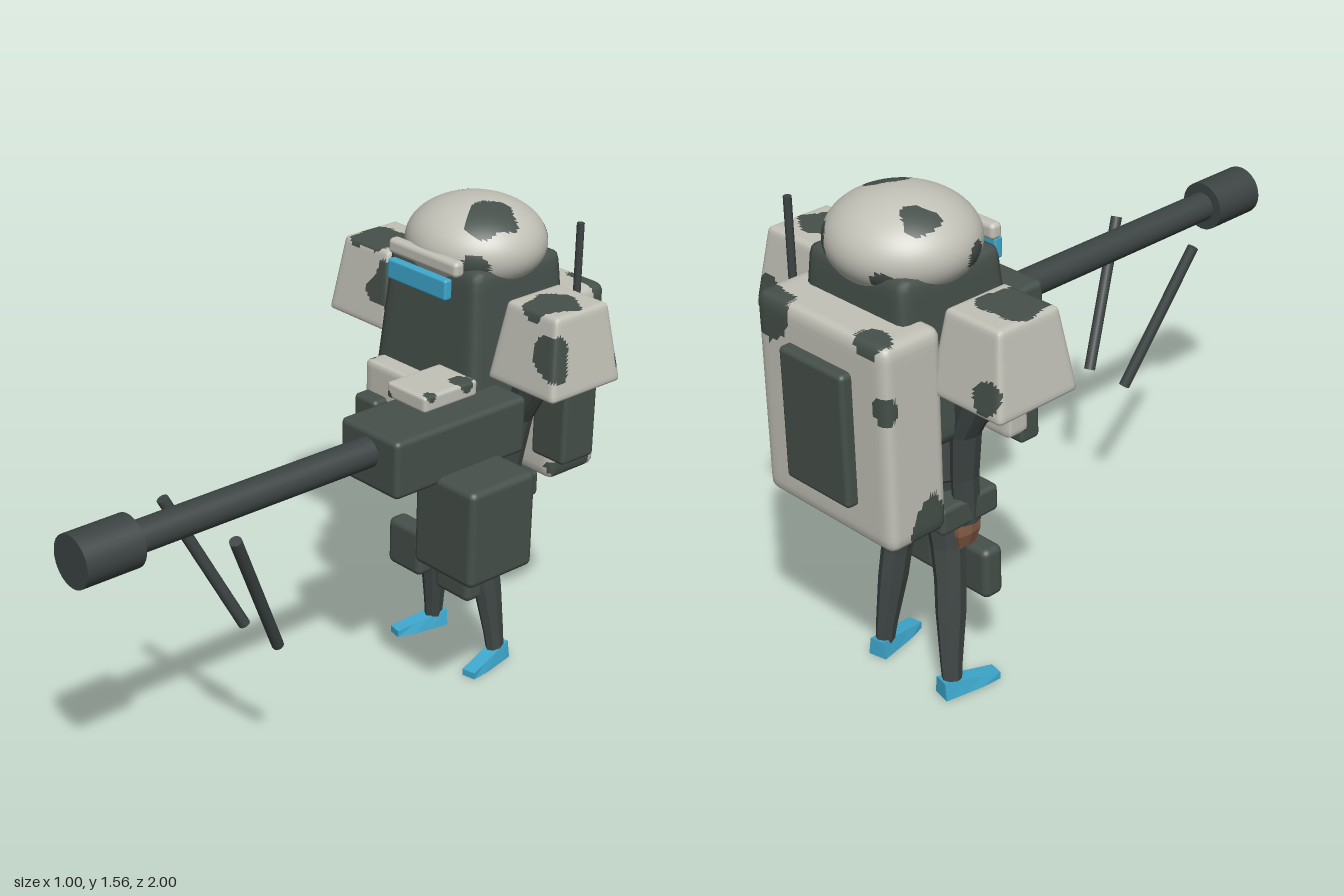
import * as THREE from 'three';
import { mergeVertices } from 'three/addons/utils/BufferGeometryUtils.js';
import { RoundedBoxGeometry } from 'three/addons/geometries/RoundedBoxGeometry.js';

const mat = (name, color) => {
  const m = new THREE.MeshStandardMaterial({ color });
  m.name = name;
  return m;
};

export function createModel() {
  const root = new THREE.Group();
  root.name = 'armouredGunner';
  const light = mat('pale grey armour', 0xc2c2b8);
  const dark = mat('dark green grey', 0x46504b);
  const suit = mat('suit grey', 0x404846);
  const steel = mat('gun steel', 0x3c4443);
  const blue = mat('bright blue', 0x3fa9cf);
  const skin = mat('brown skin', 0x8a6048);

  function add(name, geo, material, x = 0, y = 0, z = 0) {
    const m = new THREE.Mesh(geo, material);
    m.name = name;
    m.position.set(x, y, z);
    root.add(m);
    return m;
  }

  // Rounded box given by its min and max on each axis
  function box(name, material, [x0, x1], [y0, y1], [z0, z1], r = 0.015) {
    const geo = new RoundedBoxGeometry(x1 - x0, y1 - y0, z1 - z0, 3, r);
    return add(name, geo, material, (x0 + x1) / 2, (y0 + y1) / 2, (z0 + z1) / 2);
  }

  // Finely divided rounded box, narrowing to a share of its width at the top
  function taperBox(w, h, d, r, taper = 1, n = 22) {
    let g = new THREE.BoxGeometry(w, h, d, n, n, n);
    const p = g.attributes.position;
    const v = new THREE.Vector3(), c = new THREE.Vector3();
    const lim = new THREE.Vector3(w / 2 - r, h / 2 - r, d / 2 - r);
    const neg = lim.clone().negate();
    for (let i = 0; i < p.count; i++) {
      v.fromBufferAttribute(p, i);
      c.copy(v).clamp(neg, lim);
      v.sub(c).setLength(r).add(c);
      const s = 1 + (taper - 1) * (v.y / h + 0.5);
      p.setXYZ(i, v.x * s, v.y, v.z * s);
    }
    g.deleteAttribute('uv');
    g.deleteAttribute('normal');
    g = mergeVertices(g, 1e-5);
    g.computeVertexNormals();
    return g;
  }

  // Splits a geometry into light faces and dark camouflage patches [x, y, z, radius]
  function camo(name, geo, x, y, z, patches) {
    const p = geo.attributes.position, idx = geo.index.array;
    const sets = [[], []];
    const c = new THREE.Vector3(), v = new THREE.Vector3();
    for (let i = 0; i < idx.length; i += 3) {
      c.set(0, 0, 0);
      for (let k = 0; k < 3; k++) c.add(v.fromBufferAttribute(p, idx[i + k]));
      c.divideScalar(3).add(v.set(x, y, z));
      const wobble = 1 + 0.14 * Math.sin(c.x * 47 + c.y * 31) + 0.12 * Math.sin(c.z * 53 - c.y * 39);
      const inPatch = patches.some(([a, b, d, r]) => Math.hypot(c.x - a, c.y - b, c.z - d) < r * wobble);
      sets[inPatch ? 1 : 0].push(idx[i], idx[i + 1], idx[i + 2]);
    }
    geo.setIndex([...sets[0], ...sets[1]]);
    geo.clearGroups();
    geo.addGroup(0, sets[0].length, 0);
    geo.addGroup(sets[0].length, sets[1].length, 1);
    return add(name, geo, [light, dark], x, y, z);
  }

  // Faceted limb through rings [x, y, z, rx, rz], listed from bottom to top
  function limb(name, material, rings, sides = 8) {
    const pos = [], idx = [];
    for (const [x, y, z, rx, rz] of rings) {
      for (let j = 0; j < sides; j++) {
        const a = (j / sides) * Math.PI * 2;
        pos.push(x + Math.cos(a) * rx, y, z + Math.sin(a) * rz);
      }
    }
    for (let i = 0; i < rings.length - 1; i++) {
      for (let j = 0; j < sides; j++) {
        const k = (j + 1) % sides, a = i * sides, b = a + sides;
        idx.push(a + j, b + j, a + k, a + k, b + j, b + k);
      }
    }
    const top = (rings.length - 1) * sides;
    for (let j = 1; j < sides - 1; j++) idx.push(0, j, j + 1, top, top + j + 1, top + j);
    let g = new THREE.BufferGeometry();
    g.setAttribute('position', new THREE.Float32BufferAttribute(pos, 3));
    g.setIndex(idx);
    g = g.toNonIndexed();
    g.computeVertexNormals();
    return add(name, g, material);
  }

  // Straight round bar between two points
  function bar(name, material, a, b, r, sides = 24) {
    const from = new THREE.Vector3(...a), to = new THREE.Vector3(...b);
    const dir = to.clone().sub(from);
    const m = add(name, new THREE.CylinderGeometry(r, r, dir.length(), sides), material);
    m.position.copy(from).add(to).multiplyScalar(0.5);
    m.quaternion.setFromUnitVectors(new THREE.Vector3(0, 1, 0), dir.normalize());
    return m;
  }

  // Helmet, brow and visor
  const dome = new THREE.SphereGeometry(1, 80, 56);
  dome.scale(0.222, 0.14, 0.213);
  camo('helmet', dome, 0, 1.42, -0.657, [
    [0.12, 1.53, -0.61, 0.08], [-0.125, 1.52, -0.705, 0.05], [-0.2, 1.41, -0.58, 0.035],
    [0.15, 1.4, -0.51, 0.045], [0.13, 1.42, -0.83, 0.045], [-0.12, 1.37, -0.83, 0.035]]);
  box('brow', light, [-0.15, 0.15], [1.385, 1.435], [-0.47, -0.43]);
  box('visor', blue, [-0.128, 0.128], [1.315, 1.38], [-0.44, -0.41], 0.008);

  // Body slab, jacket and chest armour
  add('torso', taperBox(0.46, 0.505, 0.43, 0.025, 0.82, 16), dark, 0, 1.145, -0.655);
  limb('jacket', suit, [
    [0, 0.6, -0.64, 0.15, 0.09], [0, 0.72, -0.635, 0.17, 0.12],
    [0, 0.73, -0.635, 0.18, 0.125], [0, 0.95, -0.64, 0.17, 0.105]], 10);
  camo('chestPlate', taperBox(0.39, 0.25, 0.08, 0.015), 0, 0.91, -0.425, [
    [-0.2, 1.03, -0.41, 0.02], [0.02, 1.04, -0.42, 0.02], [0.14, 0.8, -0.39, 0.06], [-0.14, 0.8, -0.39, 0.06]]);
  for (const x of [-0.14, 0, 0.14]) {
    box('pouch', dark, [x - 0.05, x + 0.05], [0.745, 0.935], [-0.41, -0.335]);
  }
  box('belt', dark, [-0.225, 0.225], [0.605, 0.69], [-0.75, -0.535]);

  // Paired limbs and armour
  for (const s of [-1, 1]) {
    limb('leg', suit, [
      [s * 0.148, 0.035, -0.665, 0.025, 0.032], [s * 0.142, 0.1, -0.66, 0.028, 0.037],
      [s * 0.125, 0.27, -0.64, 0.04, 0.05], [s * 0.115, 0.37, -0.63, 0.043, 0.05],
      [s * 0.1, 0.48, -0.62, 0.05, 0.056], [s * 0.086, 0.65, -0.62, 0.062, 0.07]]);
    // Shoe: a box lowered and narrowed toward the toe
    let shoe = new THREE.BoxGeometry(0.062, 0.055, 0.19, 1, 1, 3);
    const p = shoe.attributes.position;
    for (let i = 0; i < p.count; i++) {
      const t = p.getZ(i) / 0.19 + 0.5;
      if (p.getY(i) > 0) p.setXYZ(i, p.getX(i) * 0.75, 0.03 - 0.035 * t, p.getZ(i));
      else p.setX(i, p.getX(i) * (t > 0.9 ? 0.75 : 1));
    }
    shoe = shoe.toNonIndexed();
    shoe.computeVertexNormals();
    add('shoe', shoe, blue, s * 0.16, 0.0275, -0.61).rotation.y = s * 0.2;
    box('kneePad', dark, s > 0 ? [0.035, 0.19] : [-0.19, -0.035], [0.285, 0.45], [-0.56, -0.487], 0.022);

    limb('arm', suit, [
      [s * 0.195, 0.6, -0.63, 0.03, 0.045], [s * 0.2, 0.75, -0.64, 0.035, 0.045],
      [s * 0.22, 0.9, -0.65, 0.04, 0.048], [s * 0.29, 1.07, -0.65, 0.07, 0.06],
      [s * 0.25, 1.2, -0.65, 0.07, 0.06]]);
    limb('hand', skin, [
      [s * 0.182, 0.51, -0.625, 0.01, 0.035], [s * 0.195, 0.56, -0.63, 0.016, 0.048],
      [s * 0.195, 0.62, -0.63, 0.02, 0.05]], 6);
    limb('thumb', skin, [
      [s * 0.165, 0.525, -0.59, 0.007, 0.01], [s * 0.165, 0.57, -0.595, 0.01, 0.012],
      [s * 0.185, 0.61, -0.61, 0.012, 0.014]], 5);

    camo('shoulderPad', taperBox(0.275, 0.25, 0.292, 0.015, 0.74), s * 0.364, 1.205, -0.643, [
      [s * 0.37, 1.34, -0.615, 0.085], [s > 0 ? 0.47 : -0.255, 1.22, -0.51, 0.075],
      [s * 0.44, 1.14, -0.79, 0.05], [s * 0.3, 1.07, -0.62, 0.04]]);
  }

  // Backpack with panel, radio and antenna
  camo('backpack', taperBox(0.525, 0.62, 0.205, 0.03, 1, 30), 0, 0.97, -0.8625, [
    [0.2, 1.22, -0.95, 0.075], [0.27, 0.75, -0.86, 0.09], [-0.19, 1.27, -0.93, 0.05],
    [-0.26, 0.72, -0.82, 0.07], [-0.25, 1.1, -0.97, 0.045], [0.05, 0.66, -0.88, 0.05]]);
  box('backPanel', dark, [-0.13, 0.13], [0.765, 1.17], [-1.0, -0.95]);
  box('radio', dark, [0.2, 0.34], [0.75, 1.11], [-0.87, -0.73]);
  bar('antenna', steel, [0.27, 1.08, -0.825], [0.27, 1.505, -0.825], 0.012, 12);

  // Heavy gun
  box('receiver', dark, [0.09, 0.34], [0.855, 1.04], [-0.56, -0.037], 0.018);
  bar('barrel', steel, [0.212, 0.97, -0.06], [0.212, 0.97, 0.83], 0.047, 32);
  bar('muzzle', steel, [0.212, 0.97, 0.81], [0.212, 0.97, 1.0], 0.079, 32);
  box('ammoBox', dark, [0.24, 0.49], [0.565, 0.88], [-0.46, -0.2], 0.022);
  camo('sightPlate', taperBox(0.165, 0.05, 0.212, 0.01), 0.2125, 1.1, -0.288, [
    [0.275, 1.125, -0.355, 0.036], [0.285, 1.12, -0.21, 0.02], [0.14, 1.08, -0.19, 0.02]]);
  for (const s of [-1, 1]) {
    bar('bipodLeg', steel, [0.212 + s * 0.165, 0.955, 0.58], [0.212 + s * 0.077, 0.51, 0.365], 0.018, 16);
  }
  return root;
}
